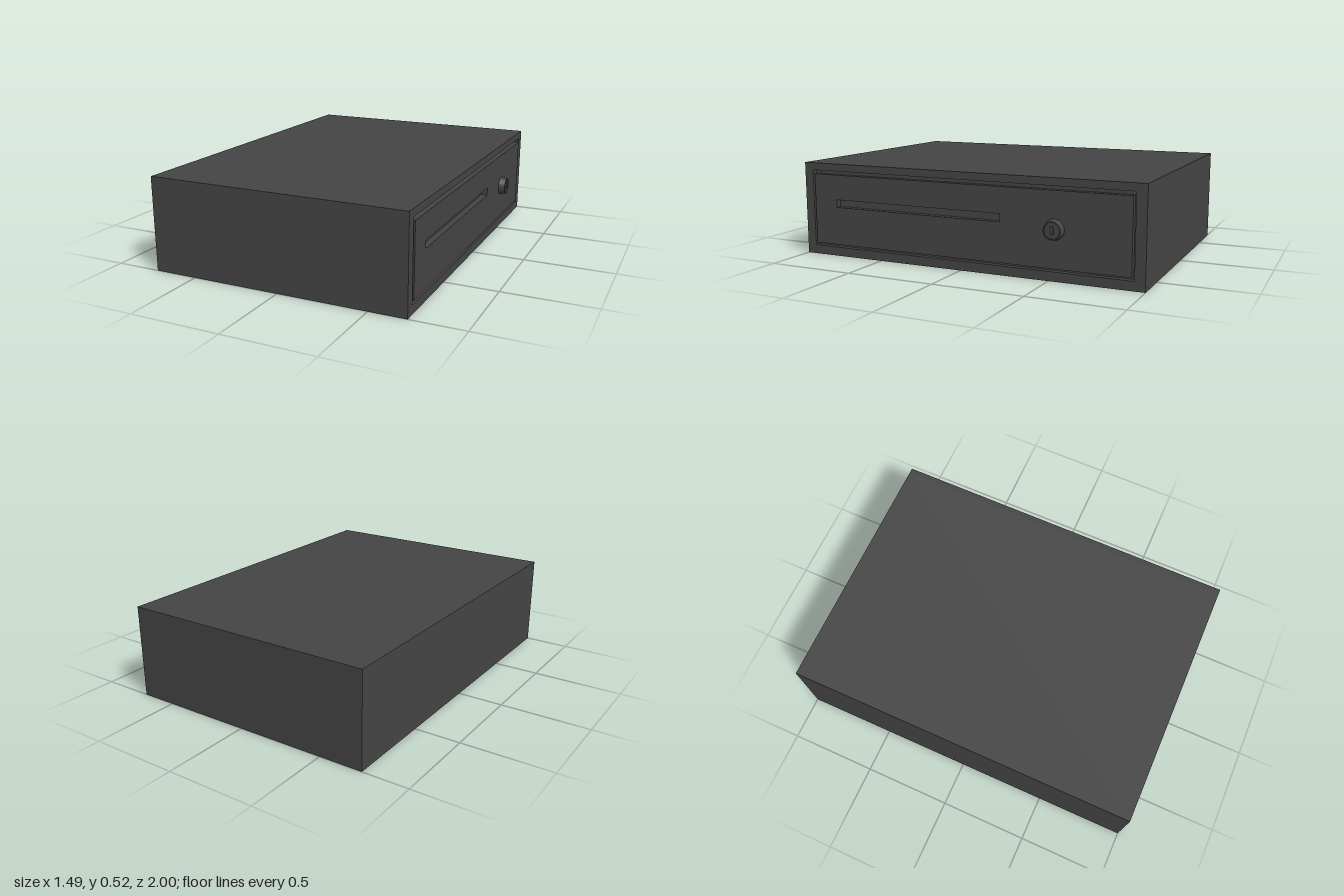
import * as THREE from 'three';

const material = new THREE.MeshStandardMaterial({ color: 0x444444 });

const BACK = -0.745, RECESS = 0.675, FACE = 0.705, PANEL = 0.708;
const LOCK_Y = 0.266, LOCK_Z = -0.532;

// Rectangle in the plane of the drawer face: u = -z, v = y
function rect(Type, z0, z1, y0, y1) {
  const r = new Type();
  r.moveTo(-z1, y0);
  r.lineTo(-z0, y0);
  r.lineTo(-z0, y1);
  r.lineTo(-z1, y1);
  r.closePath();
  return r;
}

// Extrudes a face-plane shape along +x between two x positions
function slab(name, shape, x0, x1) {
  const geo = new THREE.ExtrudeGeometry(shape, { depth: x1 - x0, bevelEnabled: false, curveSegments: 16 });
  geo.rotateY(Math.PI / 2).translate(x0, 0, 0);
  const mesh = new THREE.Mesh(geo, material);
  mesh.name = name;
  return mesh;
}

export function createModel() {
  const model = new THREE.Group();
  model.name = 'cashDrawer';

  // Closed housing, with a rim that surrounds the drawer opening
  model.add(slab('housing', rect(THREE.Shape, -1, 1, 0, 0.525), BACK, RECESS));
  const rim = rect(THREE.Shape, -1, 1, 0, 0.525);
  rim.holes.push(rect(THREE.Path, -0.945, 0.945, 0.05, 0.484));
  model.add(slab('housingRim', rim, RECESS, FACE));

  // Drawer front, slightly proud of the rim, with a long recessed slot
  const panel = rect(THREE.Shape, -0.932, 0.932, 0.066, 0.463);
  panel.holes.push(rect(THREE.Path, -0.233, 0.786, 0.28, 0.323));
  model.add(slab('drawerFront', panel, RECESS, PANEL));

  // Key lock: tapered collar around a sunken barrel
  const lock = new THREE.Group();
  lock.name = 'lock';
  const collarProfile = [[0.056, 0.7], [0.047, 0.745], [0.041, 0.745], [0.041, 0.738]];
  for (let i = 0; i < collarProfile.length - 1; i++) {
    const points = [collarProfile[i], collarProfile[i + 1]].map(([r, x]) => new THREE.Vector2(r, x));
    const geo = new THREE.LatheGeometry(points, 32);
    geo.rotateZ(-Math.PI / 2).translate(0, LOCK_Y, LOCK_Z);
    const mesh = new THREE.Mesh(geo, material);
    mesh.name = 'lockCollar';
    lock.add(mesh);
  }

  // Barrel face with the keyhole cut through to a floor
  const barrel = new THREE.Shape().absarc(-LOCK_Z, LOCK_Y, 0.041, 0, Math.PI * 2);
  barrel.holes.push(rect(THREE.Path, LOCK_Z - 0.009, LOCK_Z + 0.009, LOCK_Y - 0.02, LOCK_Y + 0.02));
  lock.add(slab('lockBarrel', barrel, 0.705, 0.738));
  model.add(lock);

  return model;
}
